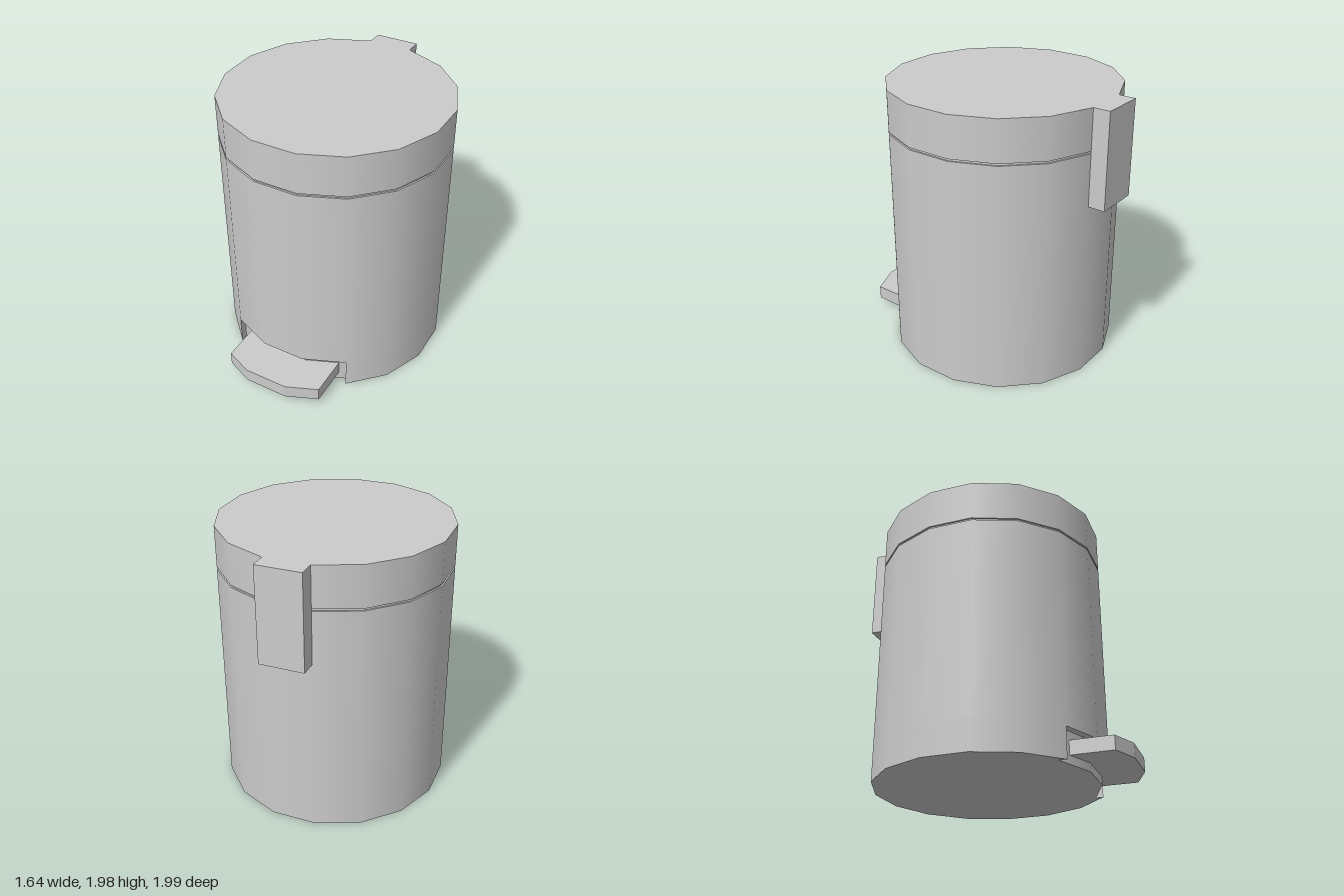
import * as THREE from 'three';

const R = 0.82, CZ = -0.06, SIDES = 16, STEP = (Math.PI * 2) / SIDES;
const NOTCH_H = 0.22, BODY_TOP = 1.667, LID_BOTTOM = 1.683, TOP = 1.975;
const material = new THREE.MeshStandardMaterial({ color: 0xcccccc });
const thin = new THREE.MeshStandardMaterial({ color: 0xcccccc, side: THREE.DoubleSide });

// Pedal and recess face along the normal of the facet just beside the front corner
const OUT = new THREE.Vector2(-Math.sin(STEP / 2), Math.cos(STEP / 2));
const corner = (i, push = 0) => new THREE.Vector2(
  R * Math.sin(i * STEP) + OUT.x * push, CZ + R * Math.cos(i * STEP) + OUT.y * push);

function add(group, name, geometry, mat = material) {
  const mesh = new THREE.Mesh(geometry, mat);
  mesh.name = name;
  group.add(mesh);
}

// Smooth-sided drum, or an open arc of it, starting at facet corner `from`
function drum(r, y0, y1, from = 0, count = SIDES) {
  const open = count < SIDES;
  return new THREE.CylinderGeometry(r, r, y1 - y0, count, 1, open, from * STEP, count * STEP)
    .translate(0, (y0 + y1) / 2, CZ);
}

// Upright prism over an (x, z) outline
function prism(points, y0, y1) {
  const shape = new THREE.Shape(points.map(p => new THREE.Vector2(p.x, -p.y)));
  return new THREE.ExtrudeGeometry(shape, { depth: y1 - y0, bevelEnabled: false })
    .rotateX(-Math.PI / 2).translate(0, y0, 0);
}

// Upright wall between two (x, z) points
function wall(a, b, h) {
  const g = new THREE.PlaneGeometry(a.distanceTo(b), h);
  g.rotateY(-Math.atan2(b.y - a.y, b.x - a.x));
  return g.translate((a.x + b.x) / 2, h / 2, (a.y + b.y) / 2);
}

export function createModel() {
  const model = new THREE.Group();
  model.name = 'pedalBin';

  // Lid, narrow neck and main drum
  add(model, 'lid', drum(R, LID_BOTTOM, TOP));
  add(model, 'neck', drum(R - 0.012, BODY_TOP - 0.01, LID_BOTTOM + 0.01));
  add(model, 'body', drum(R, NOTCH_H, BODY_TOP));

  // Lower drum with a three-facet recess for the pedal
  const depth = -0.055;
  add(model, 'lowerBody', drum(R, 0, NOTCH_H, 1, 13));
  add(model, 'recessFace', drum(R, 0, NOTCH_H, -2, 3)
    .translate(OUT.x * depth, 0, OUT.y * depth));
  for (const i of [-2, 1]) {
    add(model, 'recessSide', wall(corner(i), corner(i, depth), NOTCH_H), thin);
  }

  // Base plate following the recessed outline
  const base = [];
  for (let i = 1; i <= 14; i++) base.push(corner(i));
  for (let i = -2; i <= 1; i++) base.push(corner(i, depth));
  add(model, 'base', new THREE.ShapeGeometry(new THREE.Shape(base)).rotateX(Math.PI / 2), thin);

  // Pedal: curved bar pushed out of the recess
  const inner = [
    corner(-2, depth).lerp(corner(-1, depth), 0.34), corner(-1, depth),
    corner(0, depth), corner(0, depth).lerp(corner(1, depth), 0.76)];
  const reach = 0.295;
  const outer = inner.map(p => p.clone().addScaledVector(OUT, reach));
  const back = inner.map(p => p.clone().addScaledVector(OUT, -0.01)).reverse();
  add(model, 'pedal', prism([...outer, ...back], 0.06, 0.16));

  // Hinge block standing on one rear facet
  add(model, 'hinge', prism(
    [corner(8), corner(7), corner(7, -0.12), corner(8, -0.12)], 1.293, TOP));

  return model;
}
